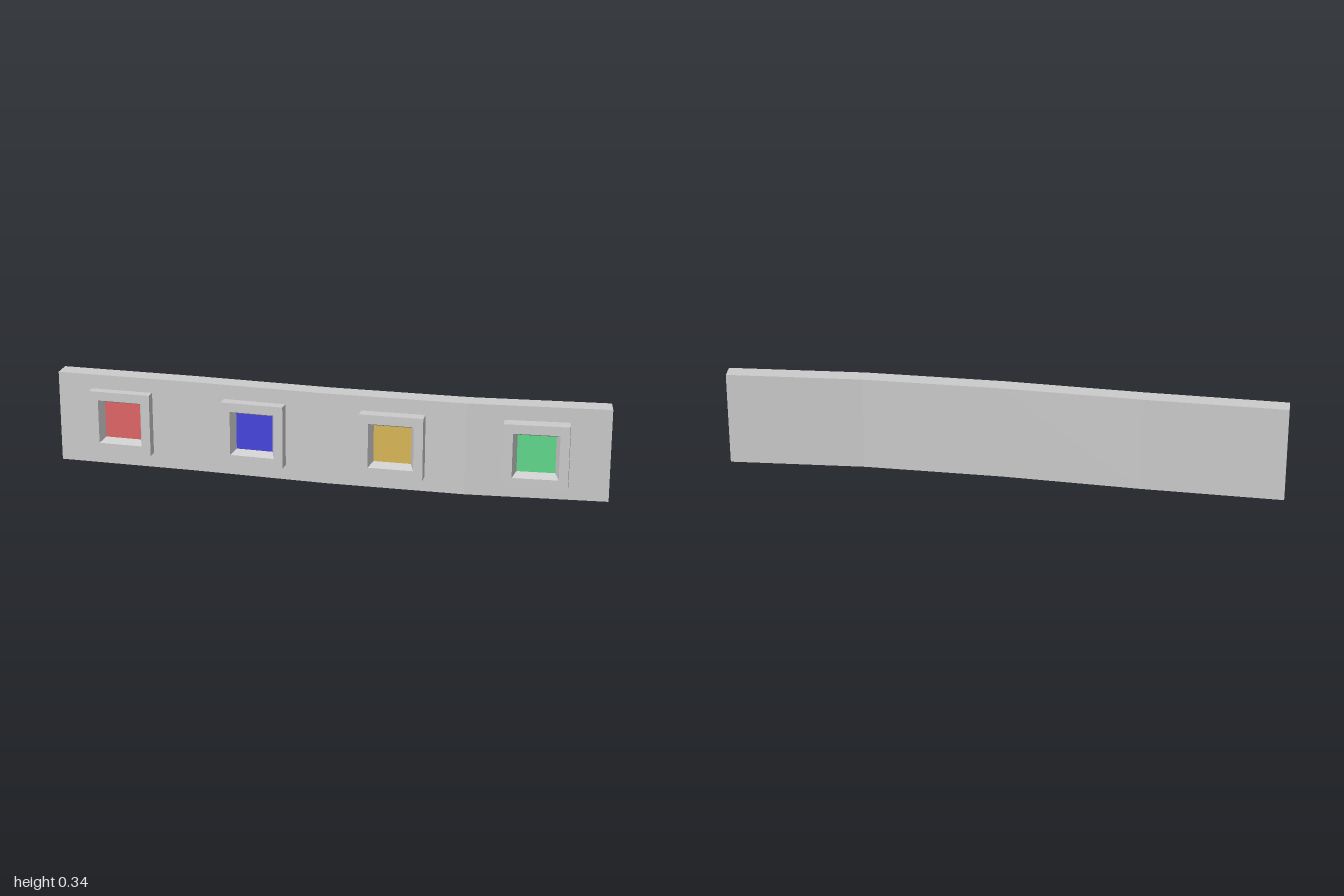
import * as THREE from 'three';

const HEIGHT = 0.336;

function material(color = 0xcccccc) {
  return new THREE.MeshStandardMaterial({ color, flatShading: true });
}

// Gently bent wall: plan outline extruded upward
function createWall() {
  const back = [[-1, -0.081], [-0.5, -0.068], [0, -0.042], [0.5, -0.038], [0.99, -0.073]];
  const front = [[1, -0.001], [0.5, 0.034], [0, 0.03], [-0.5, 0.003], [-1, -0.011]];
  const outline = [...back, ...front].map(([x, z]) => new THREE.Vector2(x, -z));
  const geometry = new THREE.ExtrudeGeometry(new THREE.Shape(outline), { depth: HEIGHT, bevelEnabled: false });
  geometry.rotateX(-Math.PI / 2);
  const wall = new THREE.Mesh(geometry, material());
  wall.name = 'wall';
  return wall;
}

// Square frame with a splayed recess; its front face lies at local z = 0
function createFrameGeometry() {
  const profile = [[0.114, -0.055], [0.114, 0], [0.081, 0], [0.067, -0.034]];
  const points = profile.map(([half, depth]) => new THREE.Vector2(half * Math.SQRT2, depth));
  const geometry = new THREE.LatheGeometry(points, 4, Math.PI / 4).rotateX(Math.PI / 2).toNonIndexed();
  geometry.computeVertexNormals();
  return geometry;
}

export function createModel() {
  const model = new THREE.Group();
  model.name = 'windowWall';
  model.add(createWall());

  const frameGeometry = createFrameGeometry();
  const paneGeometry = new THREE.PlaneGeometry(0.134, 0.134);

  // Windows follow the bend of the wall: x, front z, slope, pane colour
  const windows = [
    ['red', -0.76, 0.031, 0.035, 0xe06666],
    ['blue', -0.262, 0.056, 0.047, 0x4444dd],
    ['yellow', 0.243, 0.077, 0.01, 0xd9b856],
    ['green', 0.749, 0.066, -0.053, 0x60d98c],
  ];
  for (const [label, x, z, slope, color] of windows) {
    const unit = new THREE.Group();
    unit.name = `${label}Window`;
    const frame = new THREE.Mesh(frameGeometry, material());
    frame.name = 'windowFrame';
    const pane = new THREE.Mesh(paneGeometry, material(color));
    pane.name = 'windowPane';
    pane.position.z = -0.034;
    unit.add(frame, pane);
    unit.position.set(x, 0.169, z);
    unit.rotation.y = -Math.atan(slope);
    model.add(unit);
  }
  return model;
}
